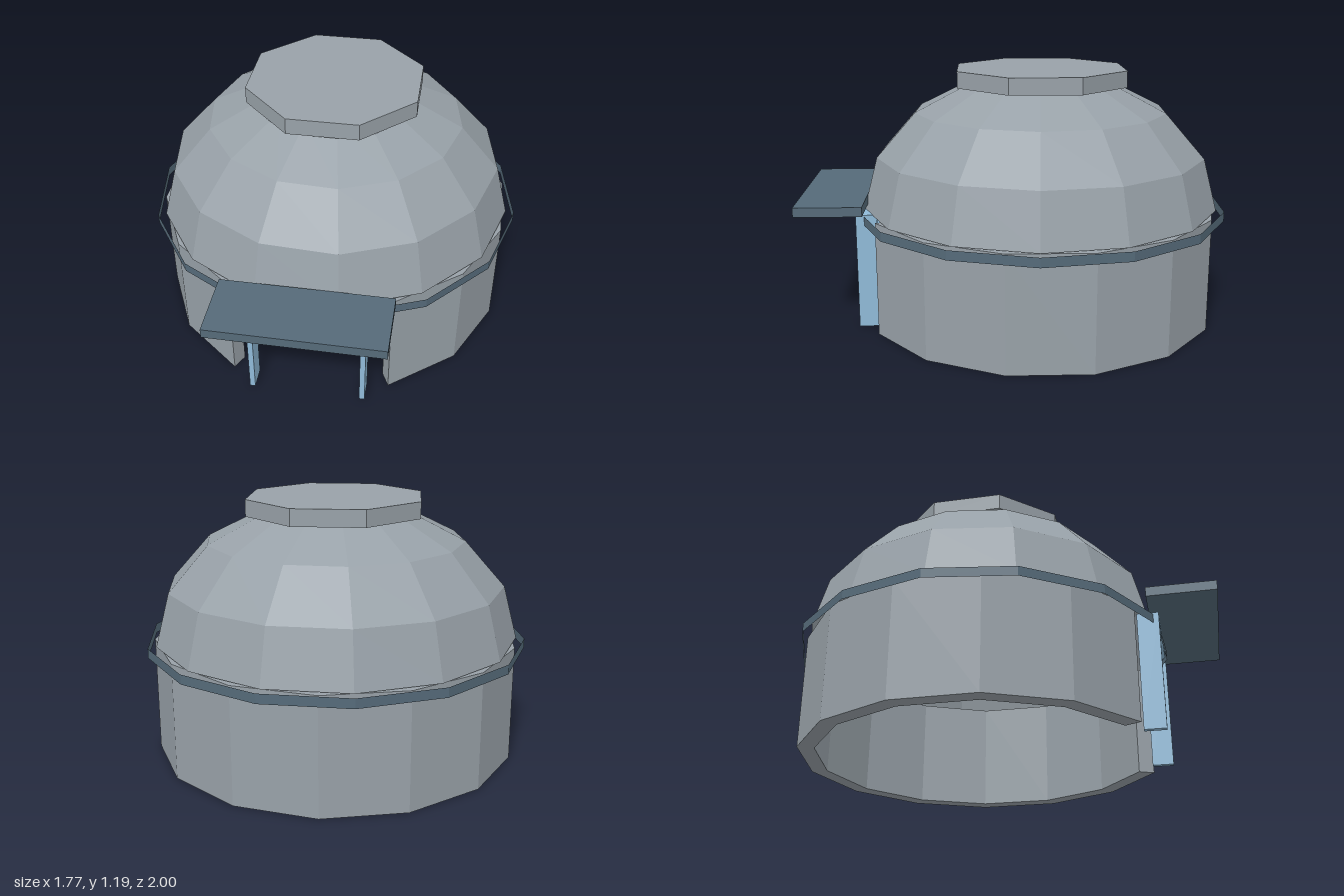
import * as THREE from 'three';

const SIDES = 14;
const STEP = (Math.PI * 2) / SIDES;
const CENTRE_Z = -0.125;
const RADIUS = 0.847;

function material(name, color, options = {}) {
  return new THREE.MeshStandardMaterial({ name, color, flatShading: true, ...options });
}

export function createModel() {
  const group = new THREE.Group();
  group.name = 'domedHut';

  const concrete = material('concrete grey', 0x98a1a8, { side: THREE.DoubleSide });
  const slate = material('slate blue', 0x556a79, { side: THREE.DoubleSide });
  const frameBlue = material('light blue', 0x90bad8);

  function add(name, geometry, mat, x, y, z) {
    const mesh = new THREE.Mesh(geometry, mat);
    mesh.name = name;
    mesh.position.set(x, y, z);
    group.add(mesh);
    return mesh;
  }

  // Round wall: a thick polygonal arc, open for two sides at the front
  const outer = [];
  const inner = [];
  for (let i = 1; i < SIDES; i++) {
    const s = Math.sin(i * STEP);
    const c = -Math.cos(i * STEP);
    outer.push(new THREE.Vector2(RADIUS * s, RADIUS * c));
    inner.unshift(new THREE.Vector2(0.77 * s, 0.77 * c));
  }
  const wall = new THREE.ExtrudeGeometry(new THREE.Shape([...outer, ...inner]), {
    depth: 0.535,
    bevelEnabled: false,
  });
  wall.rotateX(-Math.PI / 2);
  add('wall', wall, concrete, 0, 0, CENTRE_Z);

  // Flattened half-sphere roof, turned slightly against the wall
  const dome = new THREE.SphereGeometry(RADIUS, SIDES, 4, 0, Math.PI * 2, 0, Math.PI / 2);
  dome.scale(1, 0.75, 1);
  dome.rotateY(-STEP / 8);
  add('dome', dome, concrete, 0, 0.542, CENTRE_Z);

  // Octagonal roof cap
  const cap = new THREE.CylinderGeometry(0.423, 0.423, 0.077, 8);
  cap.rotateY(Math.PI / 8);
  add('roofCap', cap, concrete, 0, 1.151, CENTRE_Z);

  // Thin open band around the eaves
  const band = new THREE.CylinderGeometry(0.886, 0.886, 0.044, SIDES, 1, true);
  band.rotateY(STEP * 0.375);
  add('eavesBand', band, slate, 0, 0.516, CENTRE_Z);

  // Door frame
  for (const side of [-1, 1]) {
    const name = side > 0 ? 'leftDoorPost' : 'rightDoorPost';
    add(name, new THREE.BoxGeometry(0.025, 0.545, 0.098), frameBlue, side * 0.257, 0.2725, 0.689);
  }
  add('doorLintel', new THREE.BoxGeometry(0.49, 0.026, 0.098), frameBlue, 0, 0.532, 0.689);

  // Awning slab over the door
  add('awning', new THREE.BoxGeometry(0.772, 0.044, 0.308), slate, 0, 0.592, 0.846);

  return group;
}
